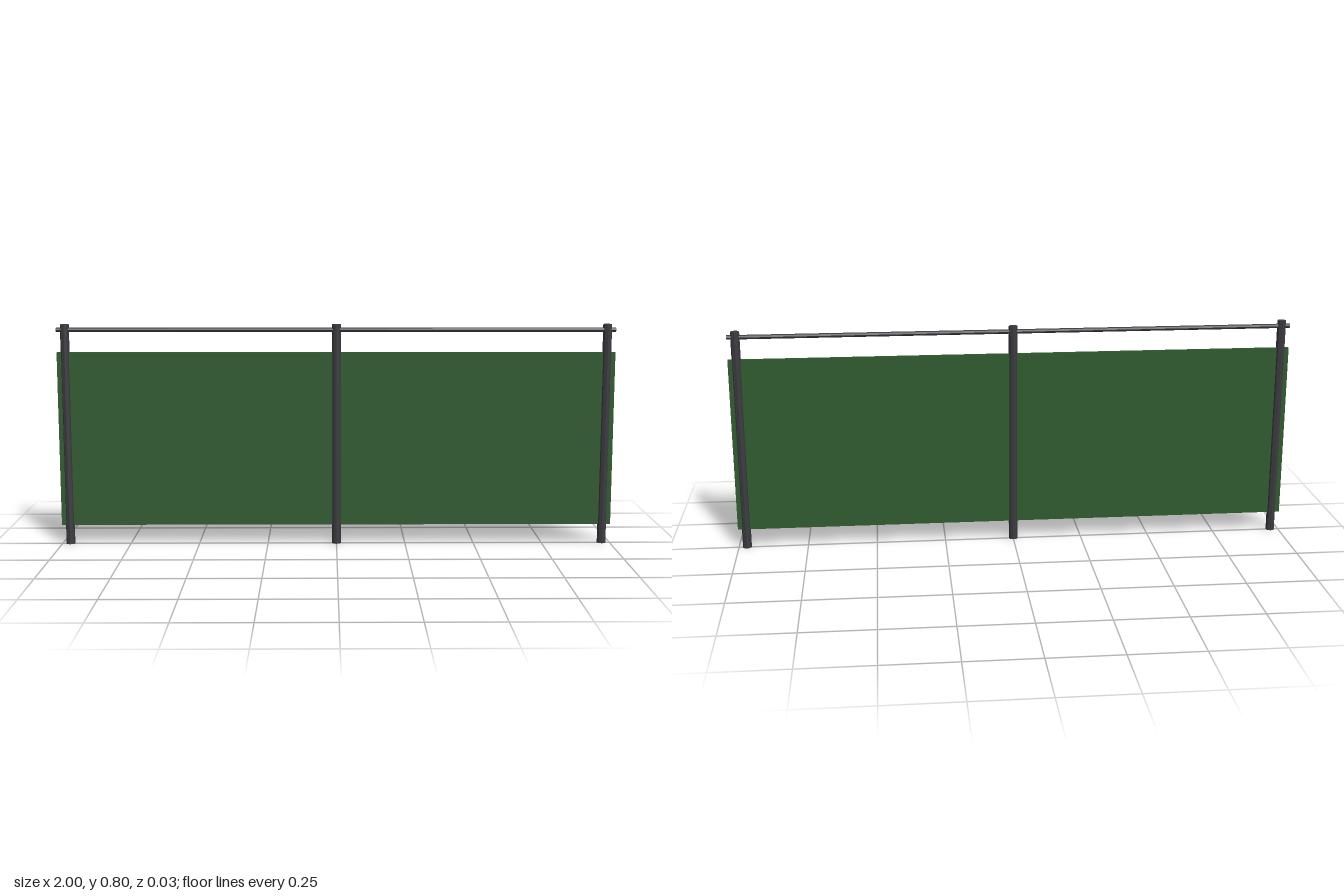
import * as THREE from 'three';

const POST_HEIGHT = 0.8;
const POST_RADIUS = 0.016;
const RAIL_RADIUS = 0.008;
const LENGTH = 2;

export function createModel() {
  const group = new THREE.Group();
  group.name = 'fence';

  const metal = new THREE.MeshStandardMaterial({ color: 0x3a3a40, flatShading: true });
  metal.name = 'dark metal';
  const green = new THREE.MeshStandardMaterial({ color: 0x2d5a2d });
  green.name = 'green mesh';

  const add = (name, geometry, material, x, y) => {
    const mesh = new THREE.Mesh(geometry, material);
    mesh.name = name;
    mesh.position.set(x, y, 0);
    group.add(mesh);
    return mesh;
  };

  // Three upright posts
  const postGeometry = new THREE.CylinderGeometry(POST_RADIUS, POST_RADIUS, POST_HEIGHT, 8);
  for (const [name, x] of [['rightPost', -0.97], ['middlePost', 0], ['leftPost', 0.97]]) {
    add(name, postGeometry, metal, x, POST_HEIGHT / 2);
  }

  // Top rail running through the posts
  const rail = add('topRail', new THREE.CylinderGeometry(RAIL_RADIUS, RAIL_RADIUS, LENGTH, 8), metal, 0, 0.78);
  rail.rotation.z = Math.PI / 2;

  // Thin infill panel
  add('panel', new THREE.BoxGeometry(LENGTH, 0.63, 0.01), green, 0, 0.385);

  return group;
}
